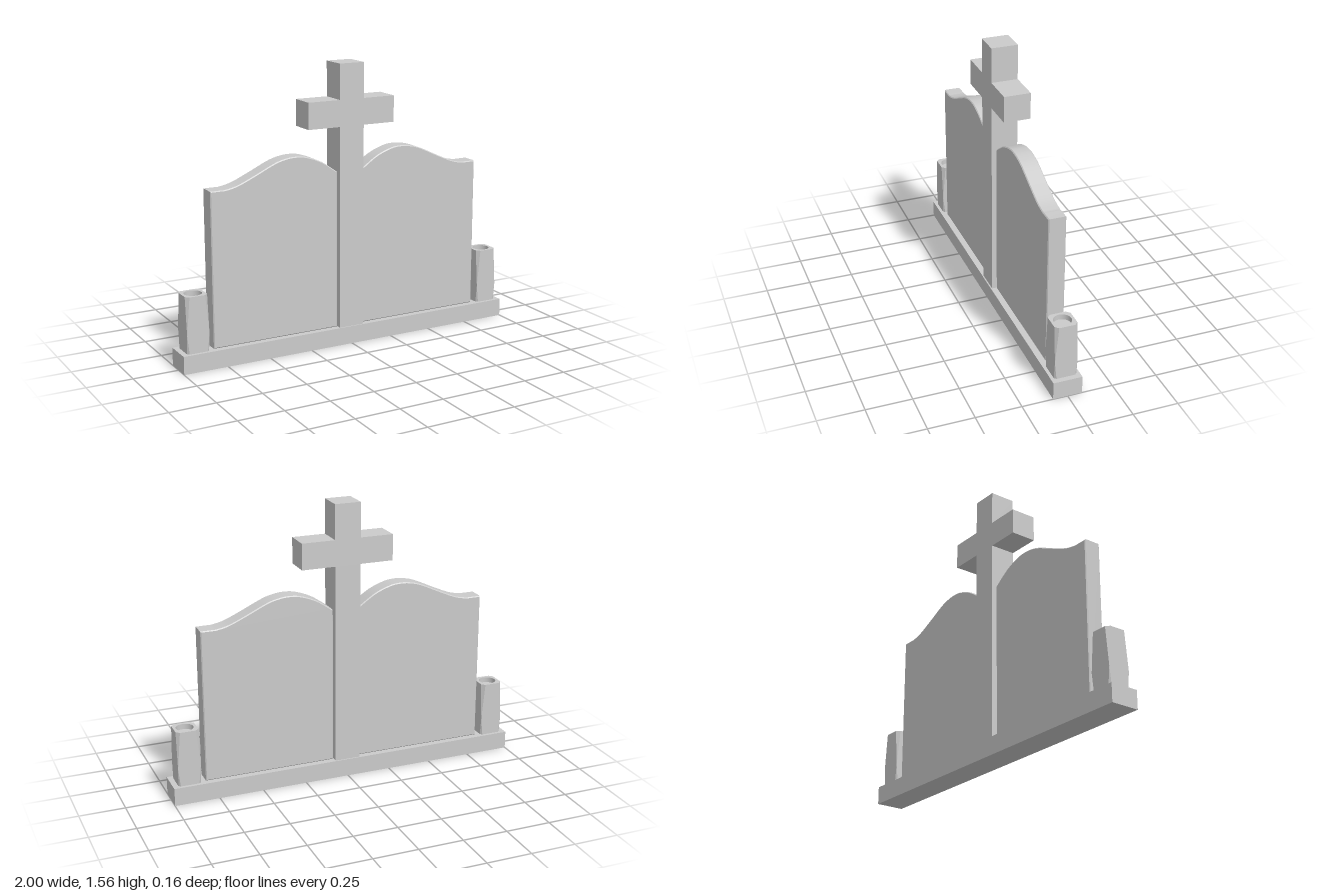
import * as THREE from 'three';
import { toCreasedNormals } from 'three/addons/utils/BufferGeometryUtils.js';

const stone = new THREE.MeshStandardMaterial({ color: 0xcccccc });
const facetedStone = new THREE.MeshStandardMaterial({ color: 0xcccccc, flatShading: true });
const rimStone = new THREE.MeshStandardMaterial({ color: 0xcccccc, side: THREE.DoubleSide });

function addMesh(parent, name, geometry, material = stone) {
  const mesh = new THREE.Mesh(geometry, material);
  mesh.name = name;
  parent.add(mesh);
  return mesh;
}

// Extrude a shape centred on z = 0, with an optional small chamfer inside its outline
function extrudeCentred(shape, depth, bevel = 0) {
  const geometry = new THREE.ExtrudeGeometry(shape, {
    depth: depth - 2 * bevel, curveSegments: 40, bevelEnabled: bevel > 0,
    bevelSize: bevel, bevelThickness: bevel, bevelOffset: -bevel, bevelSegments: 1,
  });
  geometry.translate(0, 0, bevel - depth / 2);
  return toCreasedNormals(geometry, 0.5);
}

// Headstone slab with a wavy top; side is +1 or -1
function slabGeometry(side) {
  const inner = 0.076, outer = 0.815;
  const top = [[0.725, 0.951], [0.66, 0.966], [0.57, 1.004], [0.45, 1.059],
    [0.385, 1.078], [0.325, 1.084], [0.26, 1.076], [0.17, 1.041], [inner, 0.978]];
  const shape = new THREE.Shape();
  shape.moveTo(side * inner, 0.1);
  shape.lineTo(side * outer, 0.1);
  shape.lineTo(side * outer, 0.95);
  shape.lineTo(side * 0.75, 0.95);
  shape.splineThru(top.map(([x, y]) => new THREE.Vector2(side * x, y)));
  shape.closePath();
  return extrudeCentred(shape, 0.096, 0.005);
}

// Square of half-width h with its corners cut by c, counter-clockwise
function cutSquare(h, c) {
  const k = h - c;
  return [[h, -k], [h, k], [k, h], [-k, h], [-h, k], [-h, -k], [-k, -h], [k, -h]];
}

// Vase walls: corners are sharp at one level and cut towards both ends
function vaseWalls(half, levels) {
  const rings = levels.map(([y, cut]) =>
    cutSquare(half, cut).map(([x, z]) => [x, y, -z]));
  const positions = [];
  for (let r = 0; r < rings.length - 1; r++) {
    for (let i = 0; i < 8; i++) {
      const j = (i + 1) % 8;
      const [a, b, c, d] = [rings[r][i], rings[r][j], rings[r + 1][j], rings[r + 1][i]];
      // Skip the triangle that collapses where the corner is sharp
      if (i % 2 === 0 || levels[r][1] > 0) positions.push(...a, ...b, ...c);
      if (i % 2 === 0 || levels[r + 1][1] > 0) positions.push(...(levels[r][1] > 0 ? [] : []), ...a, ...c, ...d);
    }
  }
  const geometry = new THREE.BufferGeometry();
  geometry.setAttribute('position', new THREE.Float32BufferAttribute(positions, 3));
  geometry.computeVertexNormals();
  return geometry;
}

function createVase() {
  const vase = new THREE.Group();
  const half = 0.0625, topY = 0.31, holeRadius = 0.048, holeDepth = 0.03, topCut = 0.019;
  addMesh(vase, 'vaseWalls', vaseWalls(half, [[0, 0.011], [0.1, 0], [topY, topCut]]), facetedStone);

  // Flat rim around the round opening
  const rim = new THREE.Shape(cutSquare(half, topCut).map(([x, y]) => new THREE.Vector2(x, y)));
  rim.holes.push(new THREE.Path().absarc(0, 0, holeRadius, 0, Math.PI * 2, true));
  const rimGeometry = new THREE.ShapeGeometry(rim, 16);
  rimGeometry.rotateX(-Math.PI / 2);
  addMesh(vase, 'vaseRim', rimGeometry, rimStone).position.y = topY;

  // Inside of the opening and its floor
  const wall = new THREE.CylinderGeometry(holeRadius, holeRadius, holeDepth, 32, 1, true);
  addMesh(vase, 'vaseOpening', wall, rimStone).position.y = topY - holeDepth / 2;
  const floor = new THREE.CircleGeometry(holeRadius, 32);
  floor.rotateX(-Math.PI / 2);
  addMesh(vase, 'vaseFloor', floor).position.y = topY - holeDepth;
  return vase;
}

export function createModel() {
  const model = new THREE.Group();
  model.name = 'doubleHeadstone';

  // Plinth
  addMesh(model, 'base', new THREE.BoxGeometry(2, 0.1, 0.16)).position.y = 0.05;

  // Cross standing between the slabs
  const p = 0.073, arm = 0.26, low = 1.225, high = 1.37, tip = 1.563;
  const outline = [[-p, 0.1], [p, 0.1], [p, low], [arm, low], [arm, high], [p, high],
    [p, tip], [-p, tip], [-p, high], [-arm, high], [-arm, low], [-p, low]];
  const cross = new THREE.Shape(outline.map(([x, y]) => new THREE.Vector2(x, y)));
  addMesh(model, 'cross', extrudeCentred(cross, 2 * p));

  // Mirrored slabs and vases
  for (const [side, label] of [[1, 'left'], [-1, 'right']]) {
    addMesh(model, label + 'Slab', slabGeometry(side));
    const vase = createVase();
    vase.name = label + 'Vase';
    vase.position.set(side * 0.908, 0.1, 0);
    model.add(vase);
  }
  return model;
}
